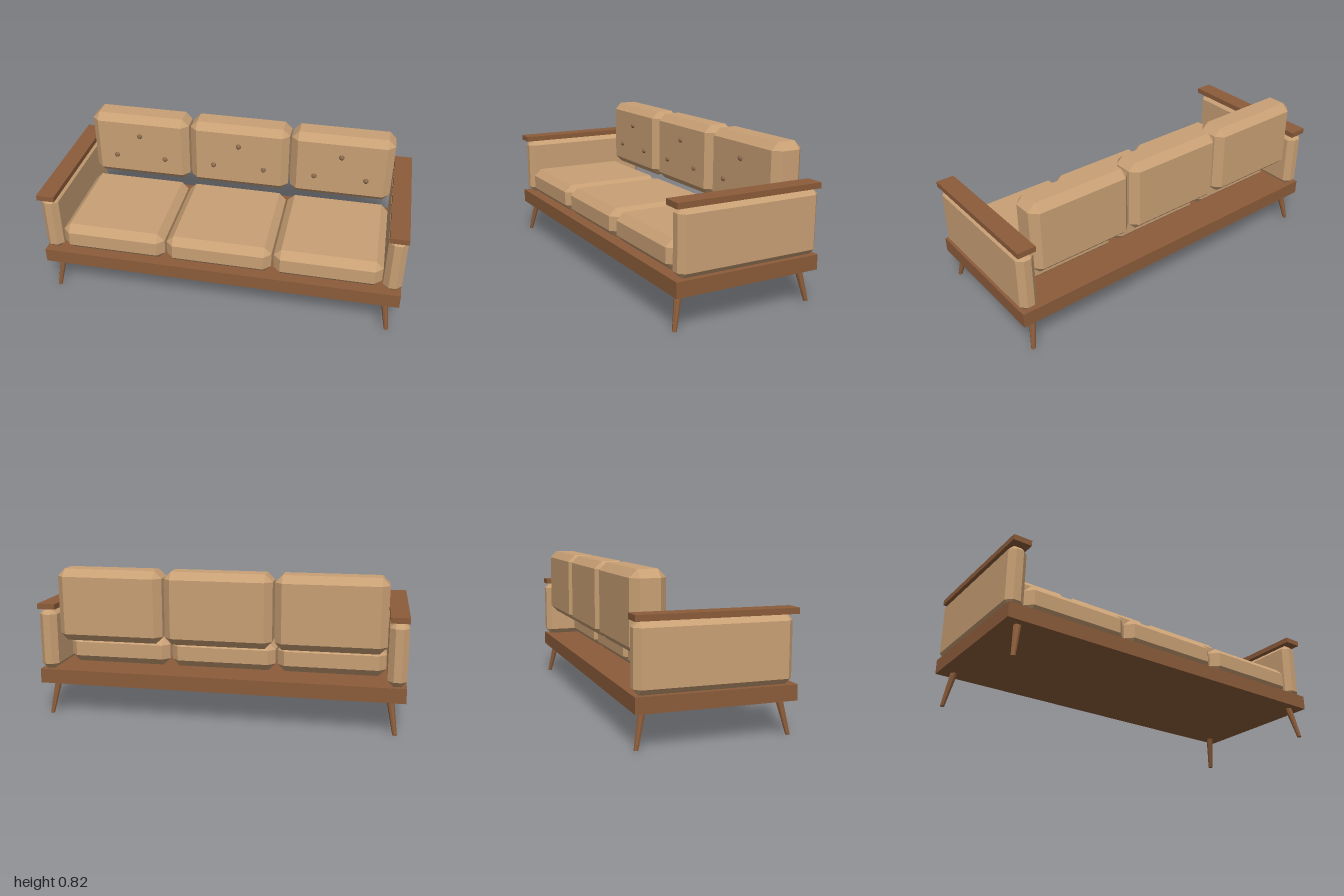
import * as THREE from 'three';
import { ConvexGeometry } from 'three/addons/geometries/ConvexGeometry.js';

const material = (name, color) => {
  const m = new THREE.MeshStandardMaterial({ color, flatShading: true });
  m.name = name;
  return m;
};

// Box with every edge cut at 45 degrees: three corner points per octant
function chamferBox(w, h, d, c) {
  const points = [];
  for (const sx of [-1, 1]) for (const sy of [-1, 1]) for (const sz of [-1, 1]) {
    const x = w / 2, y = h / 2, z = d / 2;
    points.push(
      new THREE.Vector3(sx * x, sy * (y - c), sz * (z - c)),
      new THREE.Vector3(sx * (x - c), sy * y, sz * (z - c)),
      new THREE.Vector3(sx * (x - c), sy * (y - c), sz * z)
    );
  }
  return new ConvexGeometry(points);
}

export function createModel() {
  const wood = material('wood', 0x8b5c3a);
  const fabric = material('fabric', 0xc9a075);
  const buttonFabric = material('buttonFabric', 0x8b6b4c);

  const sofa = new THREE.Group();
  sofa.name = 'sofa';
  const add = (parent, name, geometry, mat, x, y, z) => {
    const mesh = new THREE.Mesh(geometry, mat);
    mesh.name = name;
    mesh.position.set(x, y, z);
    parent.add(mesh);
    return mesh;
  };

  // Wooden platform
  add(sofa, 'base', new THREE.BoxGeometry(2, 0.08, 0.82), wood, 0, 0.22, 0);

  // Arms: padded side panel under a wooden rail
  const armPad = chamferBox(0.1, 0.34, 0.8, 0.03);
  const armRail = new THREE.BoxGeometry(0.1, 0.03, 0.82);
  for (const side of [-1, 1]) {
    const arm = new THREE.Group();
    arm.name = side > 0 ? 'leftArm' : 'rightArm';
    add(arm, 'armPad', armPad, fabric, side * 0.95, 0.43, -0.01);
    add(arm, 'armRail', armRail, wood, side * 0.95, 0.615, 0);
    sofa.add(arm);
  }

  // Three seats, each with a tufted back cushion
  const seatCushion = chamferBox(0.588, 0.16, 0.62, 0.04);
  const backCushion = chamferBox(0.588, 0.4, 0.18, 0.04);
  const button = new THREE.SphereGeometry(0.016, 8, 6);
  for (const x of [-0.6, 0, 0.6]) {
    const seat = new THREE.Group();
    seat.name = 'seat';
    seat.position.x = x;
    add(seat, 'seatCushion', seatCushion, fabric, 0, 0.34, 0.075);
    add(seat, 'backCushion', backCushion, fabric, 0, 0.62, -0.3);
    for (const [bx, by] of [[-0.15, 0.56], [0.15, 0.56], [0, 0.7]])
      add(seat, 'button', button, buttonFabric, bx, by, -0.21);
    sofa.add(seat);
  }

  // Tapered legs, sheared outward so that their ends stay level
  for (const sx of [-1, 1]) for (const sz of [-1, 1]) {
    const leg = new THREE.CylinderGeometry(0.02, 0.012, 0.18, 8);
    const shear = new THREE.Matrix4().set(
      1, -sx * 0.03 / 0.18, 0, 0,
      0, 1, 0, 0,
      0, -sz * 0.038 / 0.18, 1, 0,
      0, 0, 0, 1
    );
    leg.applyMatrix4(shear);
    add(sofa, sz > 0 ? 'frontLeg' : 'backLeg', leg, wood, sx * 0.935, 0.09, sz * 0.371);
  }

  return sofa;
}
